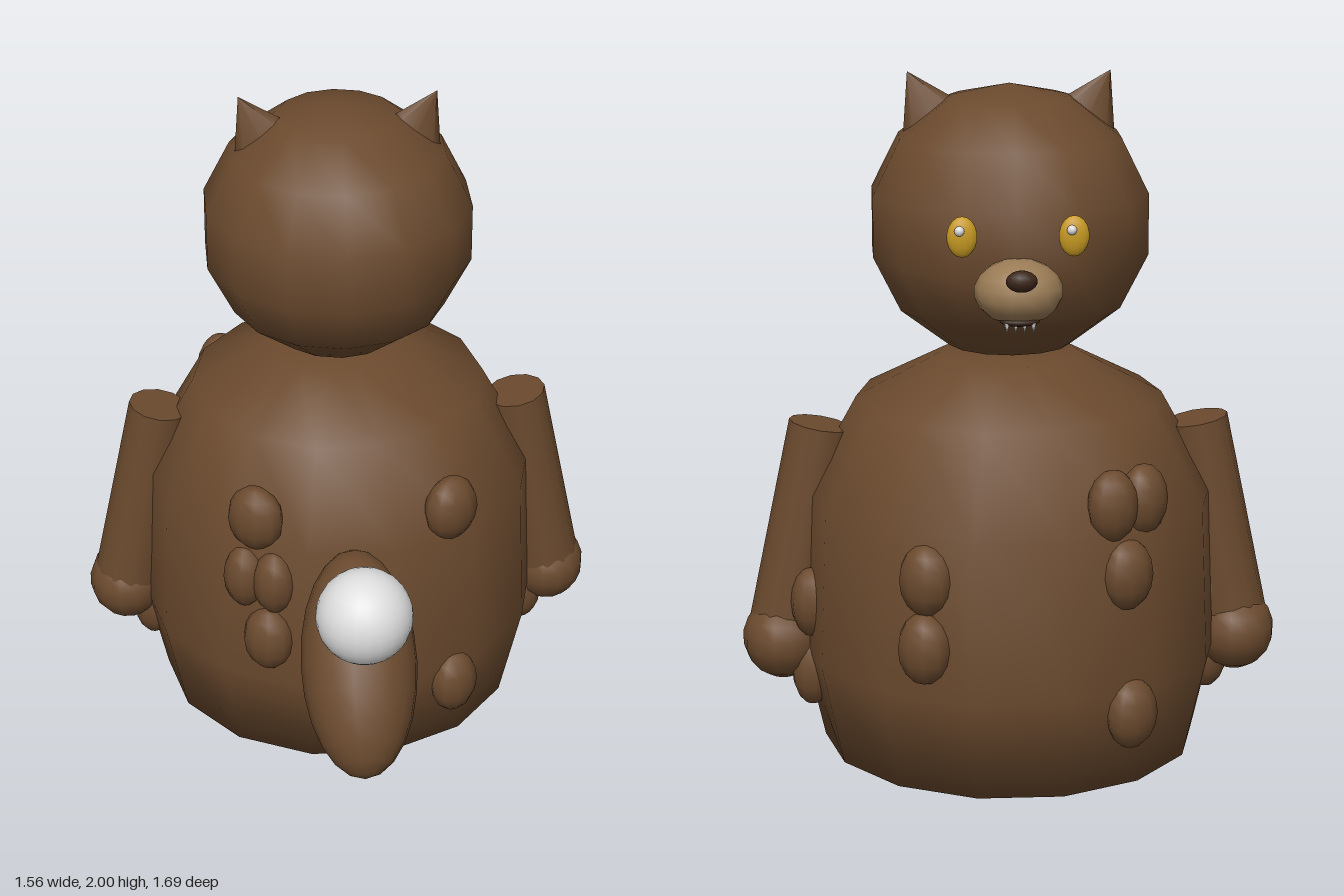
import * as THREE from 'three';

const mat = (name, color) => {
  const m = new THREE.MeshStandardMaterial({ color });
  m.name = name;
  return m;
};
const rad = THREE.MathUtils.degToRad;

export function createModel() {
  const fur = mat('brown fur', 0x6b4a2e);
  const tan = mat('tan muzzle', 0x9a7b55);
  const dark = mat('dark nose', 0x3a2418);
  const gold = mat('gold eye', 0xc79a22);
  const white = mat('white', 0xdedede);
  const CZ = -0.237; // depth of the body axis
  const model = new THREE.Group();

  const add = (name, geo, material, x, y, z) => {
    const m = new THREE.Mesh(geo, material);
    m.name = name;
    m.position.set(x, y, z);
    model.add(m);
    return m;
  };
  const blob = (name, material, x, y, z, rx, ry, rz, seg = 14, rings = 9) => {
    const m = add(name, new THREE.SphereGeometry(1, seg, rings), material, x, y, z);
    m.scale.set(rx, ry, rz);
    return m;
  };

  // Bell-shaped body, 14 sided
  const profile = [[0, 0.03], [0.545, 0.03], [0.613, 0.33], [0.594, 0.79], [0.442, 1.065], [0.2, 1.19], [0, 1.19]]
    .map(([r, y]) => new THREE.Vector2(r, y));
  add('body', new THREE.LatheGeometry(profile, 14, Math.PI / 14), fur, 0, 0, CZ);

  // Head
  const head = blob('head', fur, 0, 1.575, CZ, 0.41, 0.393, 0.41, 14, 7);
  head.rotation.y = Math.PI / 2;

  // Ears, arms, hands, feet, eyes, mirrored
  for (const s of [-1, 1]) {
    const ear = add('ear', new THREE.ConeGeometry(0.1, 0.16, 8), fur, s * 0.25, 1.93, -0.222);
    ear.scale.z = 0.42;
    ear.rotation.z = -s * rad(28);

    const top = new THREE.Vector3(s * 0.546, 0.983, -0.235);
    const wrist = new THREE.Vector3(s * 0.655, 0.39, -0.245);
    const dir = top.clone().sub(wrist);
    const arm = add('arm', new THREE.CylinderGeometry(0.092, 0.107, dir.length(), 12), fur, 0, 0, 0);
    arm.position.copy(top).add(wrist).multiplyScalar(0.5);
    arm.quaternion.setFromUnitVectors(new THREE.Vector3(0, 1, 0), dir.normalize());
    blob('hand', fur, s * 0.665, 0.345, -0.257, 0.118, 0.12, 0.132);

    blob('foot', fur, s * 0.2, 0.05, -0.335, 0.14, 0.045, 0.14);
    blob('eye', gold, s * 0.153, 1.605, -0.626, 0.042, 0.057, 0.022);
    blob('eyeGlint', white, s * 0.153 + 0.008, 1.625, -0.647, 0.014, 0.014, 0.014, 8, 6);
  }

  // Muzzle, nose, mouth and teeth
  blob('muzzle', tan, 0, 1.458, -0.65, 0.123, 0.09, 0.118);
  blob('nose', dark, 0, 1.512, -0.775, 0.043, 0.03, 0.028);
  blob('mouth', dark, 0, 1.387, -0.705, 0.055, 0.014, 0.028);
  for (const x of [-0.036, -0.012, 0.012, 0.036]) {
    const tooth = add('tooth', new THREE.ConeGeometry(0.008, 0.03, 6), white, x, 1.37, -0.718);
    tooth.rotation.x = Math.PI;
  }

  // Tail with a ball on its end
  const tail = blob('tail', fur, 0, 0.545, 0.55, 0.17, 0.334, 0.17, 18, 12);
  tail.rotation.x = -rad(41);
  blob('tailBall', white, 0, 0.826, 0.715, 0.138, 0.138, 0.138, 24, 16);

  // Fur tufts: angle from the +z side, height, distance from axis, half width
  const tufts = [
    [32, 0.87, 0.56, 0.088], [32, 0.265, 0.59, 0.078],
    [-30, 0.87, 0.56, 0.088], [-33, 0.67, 0.575, 0.066], [-23.5, 0.67, 0.575, 0.066], [-25, 0.475, 0.59, 0.078],
    [207, 0.87, 0.56, 0.075], [218, 0.87, 0.56, 0.075], [211, 0.67, 0.575, 0.08], [212, 0.265, 0.59, 0.08],
    [153, 0.67, 0.575, 0.08], [153, 0.475, 0.59, 0.078],
    [89, 0.26, 0.585, 0.066], [98, 0.26, 0.585, 0.066], [101, 0.48, 0.59, 0.07],
    [-90, 0.26, 0.585, 0.07], [-93, 0.48, 0.59, 0.07],
  ];
  for (const [deg, y, r, w] of tufts) {
    const a = rad(deg);
    const t = blob('furTuft', fur, r * Math.sin(a), y, CZ + r * Math.cos(a), w, 0.103, 0.062, 10, 8);
    t.rotation.y = a;
  }
  return model;
}
